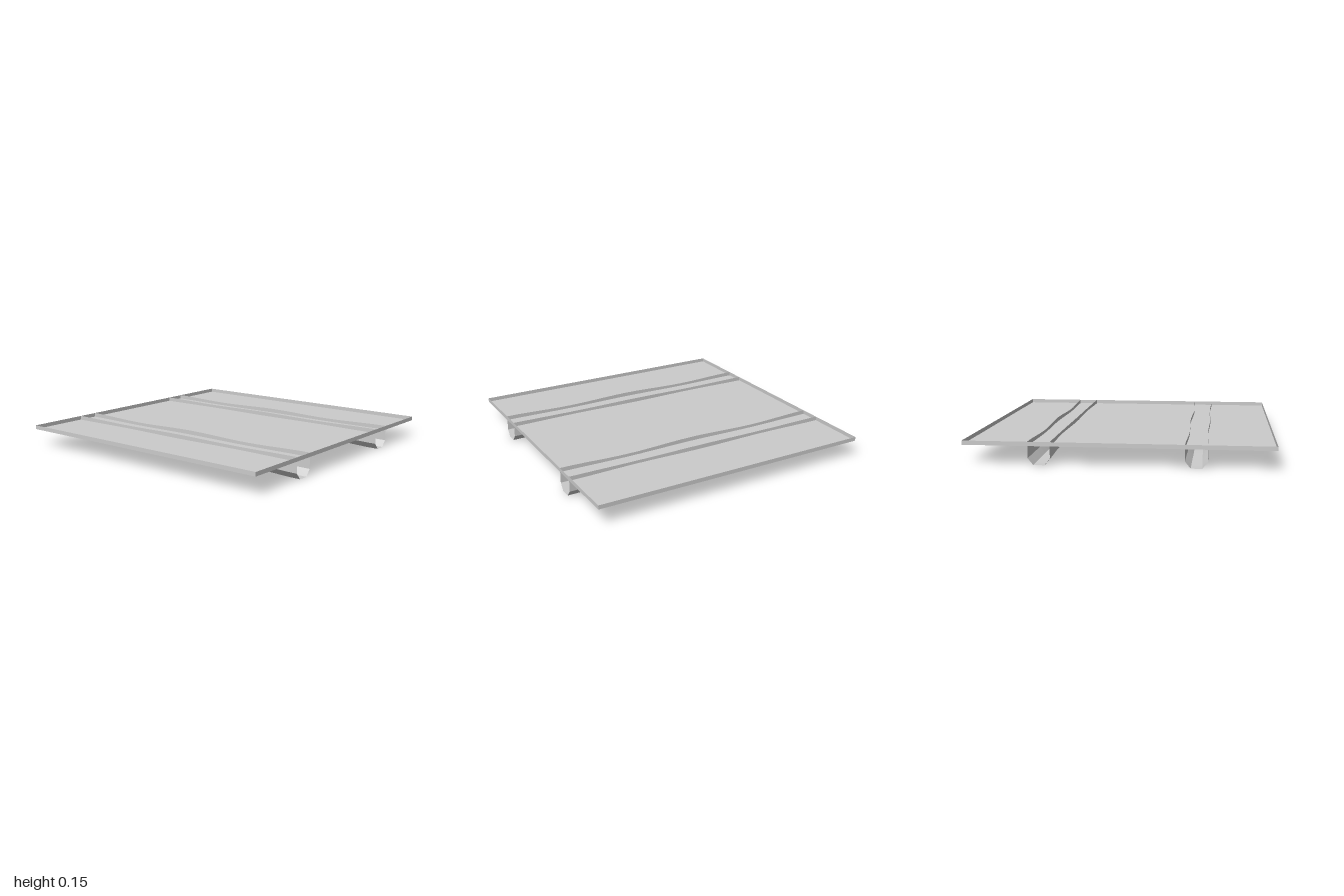
import * as THREE from 'three';

const SEGMENTS = 24;

// Half cross-section of a channel, from top edge to keel: [x, y] when wide and when narrow
const WIDE = [[0.072, 0.151], [0.072, 0.044], [0.036, 0]];
const NARROW = [[0.062, 0.143], [0.062, 0.058], [0.03, 0.014]];

// Open section at depth z; it pinches and rises twice along the length
function sectionAt(z) {
  const t = (1 - Math.cos(z * Math.PI * 2)) / 2;
  const half = WIDE.map(([x, y], i) => [
    THREE.MathUtils.lerp(x, NARROW[i][0], t),
    THREE.MathUtils.lerp(y, NARROW[i][1], t),
  ]);
  const mirrored = half.map(([x, y]) => [-x, y]);
  return [...mirrored, ...half.reverse()];
}

function channelGeometry() {
  const positions = [];
  const indices = [];
  const n = WIDE.length * 2;
  for (let k = 0; k <= SEGMENTS; k++) {
    const z = -1 + (2 * k) / SEGMENTS;
    for (const [x, y] of sectionAt(z)) positions.push(x, y, z);
  }
  for (let k = 0; k < SEGMENTS; k++) {
    for (let i = 0; i < n - 1; i++) {
      const a = k * n + i;
      const b = a + n;
      indices.push(a, a + 1, b, a + 1, b + 1, b);
    }
  }
  const geometry = new THREE.BufferGeometry();
  geometry.setAttribute('position', new THREE.Float32BufferAttribute(positions, 3));
  geometry.setIndex(indices);
  geometry.computeVertexNormals();
  return geometry;
}

export function createModel() {
  const group = new THREE.Group();
  const material = new THREE.MeshStandardMaterial({
    color: 0xcccccc,
    flatShading: true,
    side: THREE.DoubleSide,
  });

  // Shallow open-topped tray: thin floor and four rim walls
  const tray = new THREE.Group();
  tray.name = 'tray';
  const floor = new THREE.Mesh(new THREE.PlaneGeometry(2, 2).rotateX(-Math.PI / 2), material);
  floor.name = 'trayFloor';
  floor.position.y = 0.122;
  tray.add(floor);
  for (let i = 0; i < 4; i++) {
    const rim = new THREE.Mesh(new THREE.PlaneGeometry(2, 0.028).translate(0, 0.136, 1), material);
    rim.name = 'trayRim';
    rim.rotation.y = (i * Math.PI) / 2;
    tray.add(rim);
  }
  group.add(tray);

  // Two wavy channels running front to back through the floor
  const channel = channelGeometry();
  for (const [name, x] of [['leftChannel', 0.5], ['rightChannel', -0.5]]) {
    const mesh = new THREE.Mesh(channel, material);
    mesh.name = name;
    mesh.position.x = x;
    group.add(mesh);
  }
  return group;
}
